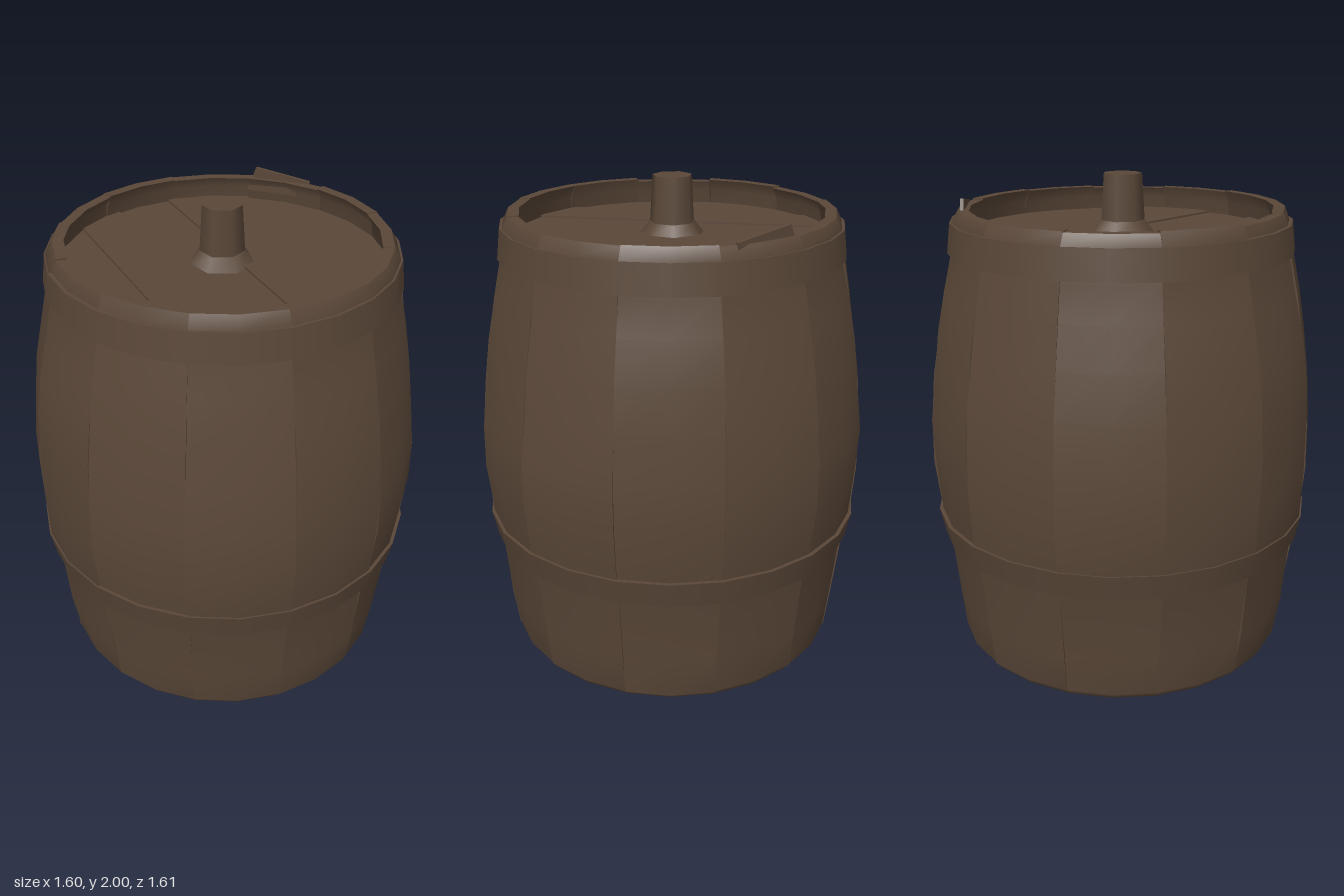
import * as THREE from 'three';

const STAVES = 12;
// barrel outline as [height, radius]
const OUTLINE = [
  [0, 0.68], [0.03, 0.705], [0.2, 0.725], [0.46, 0.755], [0.6, 0.785], [0.82, 0.803], [1.0, 0.803],
  [1.2, 0.785], [1.38, 0.76], [1.55, 0.728], [1.69, 0.7], [1.82, 0.685], [1.87, 0.66],
];

function radiusAt(y) {
  for (let i = 1; i < OUTLINE.length; i++) {
    const [y0, r0] = OUTLINE[i - 1], [y1, r1] = OUTLINE[i];
    if (y <= y1) return r0 + (r1 - r0) * (y - y0) / (y1 - y0);
  }
  return OUTLINE[OUTLINE.length - 1][1];
}

// repeatable small unevenness in -1..1
function wobble(a, b) {
  const s = Math.sin(a * 12.99 + b * 78.23) * 43758.54;
  return (s - Math.floor(s)) * 2 - 1;
}

// one curved plank: a box bent around the barrel axis
function staveGeometry(index) {
  const rows = OUTLINE.length - 1;
  const geo = new THREE.BoxGeometry(1, rows, 1, 2, rows, 1);
  const p = geo.attributes.position;
  const step = Math.PI * 2 / STAVES;
  for (let i = 0; i < p.count; i++) {
    const row = Math.round(p.getY(i) + rows / 2);
    const [y, r] = OUTLINE[row];
    const uneven = row > 0 && row < rows ? 0.006 * wobble(index + 1, row) : 0;
    const radius = r + uneven - (p.getZ(i) < 0 ? 0.045 : 0);
    const angle = (index + p.getX(i)) * step + 0.16;
    const top = row === rows ? 0.006 * wobble(index, 40) : 0;
    p.setXYZ(i, radius * Math.sin(angle), y + top, radius * Math.cos(angle));
  }
  geo.computeVertexNormals();
  return geo;
}

// closed band that follows the outline between two heights
function hoopGeometry(y0, y1, out) {
  const pts = [[y0, -0.02], [y0, out], [y1, out], [y1, -0.02]]
    .map(([y, o]) => new THREE.Vector2(radiusAt(y) + o, y));
  const parts = [];
  for (let i = 0; i < 3; i++) parts.push(new THREE.LatheGeometry([pts[i], pts[i + 1]], 24, 0.16));
  return parts;
}

export function createModel() {
  const model = new THREE.Group();
  model.name = 'barrel';
  const wood = new THREE.MeshStandardMaterial({ color: 0x5a4738, side: THREE.DoubleSide });
  wood.name = 'dark wood';
  const add = (geo, name, parent = model) => {
    const mesh = new THREE.Mesh(geo, wood);
    mesh.name = name;
    parent.add(mesh);
    return mesh;
  };

  // staves
  const staves = new THREE.Group();
  staves.name = 'staves';
  model.add(staves);
  for (let i = 0; i < STAVES; i++) add(staveGeometry(i), 'stave' + (i + 1), staves);

  // hoops: lower band and rim band
  for (const [name, y0, y1, out] of [['lowerHoop', 0.49, 0.6, 0.012], ['rimHoop', 1.7, 1.82, 0.01]]) {
    const hoop = new THREE.Group();
    hoop.name = name;
    hoopGeometry(y0, y1, out).forEach((g) => add(g, name + 'Face', hoop));
    model.add(hoop);
  }

  // floor
  add(new THREE.CylinderGeometry(0.67, 0.67, 0.03, 24), 'floor').position.y = 0.02;

  // recessed lid made of planks cut to a circle
  const lid = new THREE.Group();
  lid.name = 'lid';
  model.add(lid);
  const R = 0.655;
  const cuts = [-0.65, -0.4, -0.2, 0.04, 0.37, 0.65];
  for (let i = 0; i < cuts.length - 1; i++) {
    const a = cuts[i], b = cuts[i + 1];
    const shape = new THREE.Shape();
    for (let k = 0; k <= 6; k++) {
      const x = a + (b - a) * k / 6;
      shape[k ? 'lineTo' : 'moveTo'](x, Math.sqrt(R * R - x * x));
    }
    for (let k = 6; k >= 0; k--) {
      const x = a + (b - a) * k / 6;
      shape.lineTo(x, -Math.sqrt(R * R - x * x));
    }
    const geo = new THREE.ExtrudeGeometry(shape, { depth: 0.04, bevelEnabled: false });
    geo.rotateX(-Math.PI / 2);
    add(geo, 'lidPlank' + (i + 1), lid).position.y = 1.725 + (i % 2) * 0.008;
  }

  // peg handle with a flared foot
  const peg = new THREE.Group();
  peg.name = 'pegHandle';
  peg.position.set(-0.005, 0, 0);
  model.add(peg);
  const shaft = new THREE.CylinderGeometry(0.08, 0.092, 0.2, 7);
  add(shaft, 'pegShaft', peg).position.y = 1.9;
  add(new THREE.CylinderGeometry(0.092, 0.14, 0.06, 7), 'pegFoot', peg).position.y = 1.785;

  // splinter standing up from the rim
  const chip = new THREE.Shape([[-0.16, -0.06], [0.12, -0.06], [0.12, 0.01], [-0.12, 0.045]]
    .map(([x, y]) => new THREE.Vector2(x, y)));
  const splinter = add(new THREE.ExtrudeGeometry(chip, { depth: 0.015, bevelEnabled: false }), 'rimSplinter');
  splinter.position.set(0.49, 1.865, -0.42);
  splinter.rotation.y = -Math.PI / 4;

  return model;
}
